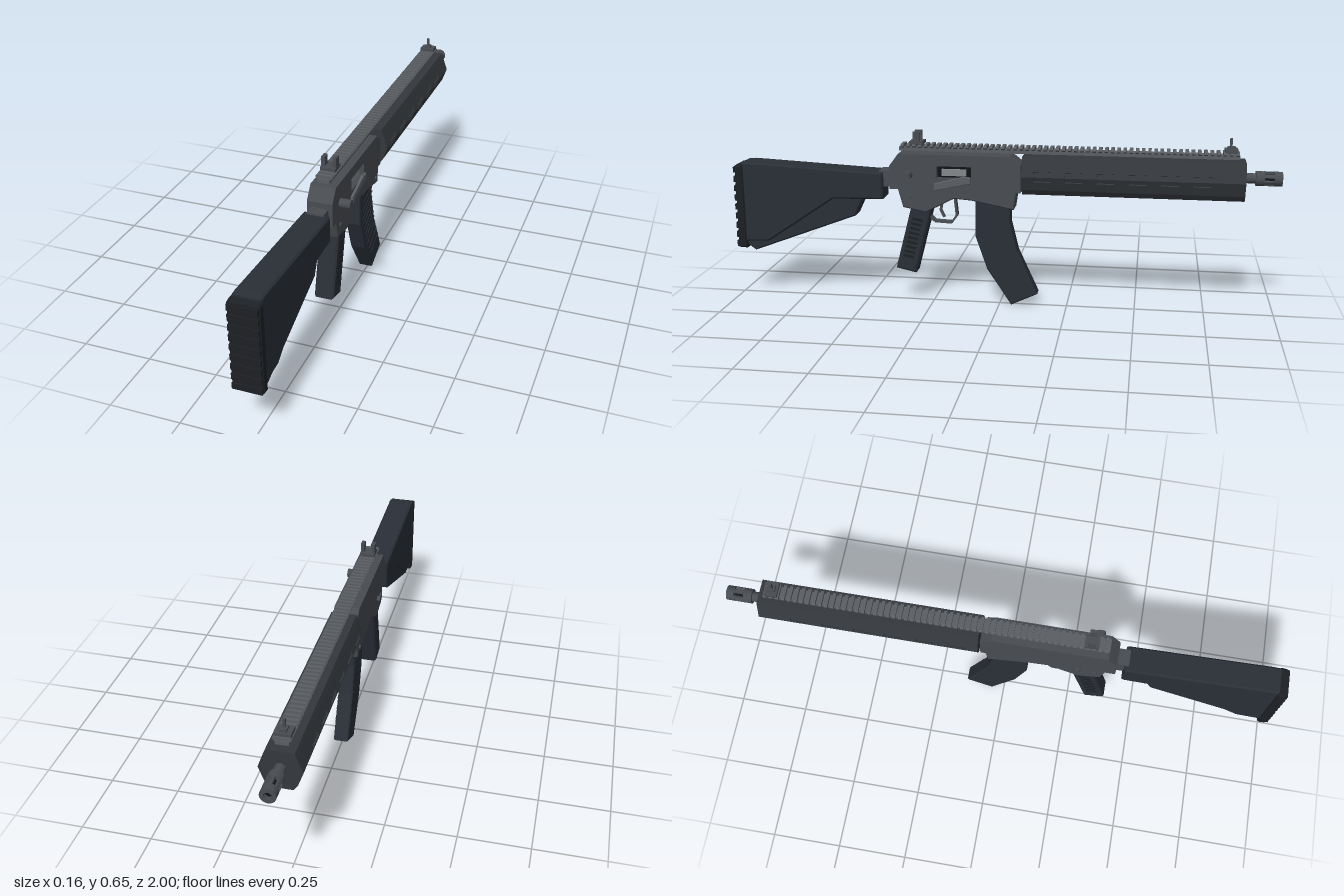
import * as THREE from 'three';
import { mergeGeometries } from 'three/addons/utils/BufferGeometryUtils.js';

const mat = (color) => new THREE.MeshStandardMaterial({ color, flatShading: true });
const steel = mat(0x484c51), rails = mat(0x5a5e62), guard = mat(0x34383c);
const polymer = mat(0x2a2f37), rubber = mat(0x1d2024), dark = mat(0x111316), bright = mat(0x85888a);

export function createModel() {
  const model = new THREE.Group();
  model.position.x = -0.008;

  const add = (name, geo, material) => {
    const mesh = new THREE.Mesh(geo, material);
    mesh.name = name;
    model.add(mesh);
    return mesh;
  };
  const toShape = (pts) => new THREE.Shape(pts.map(([a, b]) => new THREE.Vector2(a, b)));

  // Side profile of [z, y] points, extruded across x from x0 to x1
  const slab = (pts, x0, x1, bevel = 0, hole = null) => {
    const shape = toShape(pts);
    if (hole) shape.holes.push(toShape(hole));
    const geo = new THREE.ExtrudeGeometry(shape, {
      depth: x1 - x0 - 2 * bevel, bevelEnabled: bevel > 0, bevelSize: bevel,
      bevelThickness: bevel, bevelOffset: -bevel, bevelSegments: 1,
    });
    return geo.rotateY(-Math.PI / 2).translate(x1 - bevel, 0, 0);
  };
  const box = (x, y, z, w, h, d) => new THREE.BoxGeometry(w, h, d).translate(x, y, z);
  // Bar lying in the side plane between two [z, y] points
  const bar = (a, b, thick, width, x = 0) => {
    const dz = b[0] - a[0], dy = b[1] - a[1];
    return new THREE.BoxGeometry(width, thick, Math.hypot(dz, dy))
      .rotateX(-Math.atan2(dy, dz))
      .translate(x, (a[1] + b[1]) / 2, (a[0] + b[0]) / 2);
  };
  const lerp = (a, b, t) => [a[0] + (b[0] - a[0]) * t, a[1] + (b[1] - a[1]) * t];
  const rodX = (r, x0, x1, y, z, n = 16) =>
    new THREE.CylinderGeometry(r, r, x1 - x0, n).rotateZ(Math.PI / 2).translate((x0 + x1) / 2, y, z);
  const rodZ = (r, z0, z1, y, n = 20) =>
    new THREE.CylinderGeometry(r, r, z1 - z0, n).rotateX(Math.PI / 2).translate(0, y, (z0 + z1) / 2);

  // Receiver, with an open ejection port on the +x side
  const upper = [[0.404, 0.435], [0.404, 0.52], [0.37, 0.566], [-0.04, 0.566], [-0.08, 0.535], [-0.08, 0.435]];
  const port = [[0.227, 0.48], [0.227, 0.525], [0.1, 0.525], [0.1, 0.48]];
  add('receiver', slab(upper, -0.045, 0.022), steel);
  add('receiverPortSide', slab(upper, 0.022, 0.045, 0, port), steel);
  add('portFloor', slab(port, 0.021, 0.023), dark);
  add('bolt', box(0.027, 0.5, 0.165, 0.014, 0.024, 0.09), bright);
  add('lowerReceiver', slab([[0.375, 0.44], [0.355, 0.367], [0.27, 0.35], [0.165, 0.405], [0.1, 0.4],
    [-0.055, 0.37], [-0.065, 0.44]], -0.043, 0.043, 0.004), steel);
  add('chargingHandle', rodX(0.0165, 0.04, 0.085, 0.491, 0.333), steel);
  add('safetyLever', slab([[0.238, 0.435], [0.235, 0.462], [0.13, 0.49], [0.1, 0.488], [0.1, 0.465]],
    0.044, 0.055, 0.002), rails);
  add('leftPins', mergeGeometries([rodX(0.011, -0.057, -0.04, 0.43, 0.27), rodX(0.011, -0.049, -0.04, 0.41, 0.33),
    rodX(0.008, -0.049, -0.04, 0.4, -0.03)]), steel);
  add('rightPins', mergeGeometries([rodX(0.007, 0.04, 0.048, 0.405, 0.33), rodX(0.007, 0.04, 0.048, 0.4, -0.03)]), steel);

  // Handguard: a solid core wrapped in facet panels, the side ones slotted
  const half = [[0.045, 0.568], [0.052, 0.55], [0.07, 0.5], [0.052, 0.45], [0.038, 0.43]];
  const ring = [...half, ...half.map(([x, y]) => [-x, y]).reverse()];
  const zFront = -0.872, length = 0.787, skin = 0.006;
  const coreShape = toShape(ring.map(([x, y]) => [x * 0.9, 0.5 + (y - 0.5) * 0.92]));
  add('handguardCore', new THREE.ExtrudeGeometry(coreShape, { depth: length - 0.002, bevelEnabled: false })
    .translate(0, 0, zFront + 0.001), guard);
  const panels = ring.map((a, i) => {
    const b = ring[(i + 1) % ring.length];
    const w = Math.hypot(b[0] - a[0], b[1] - a[1]);
    const dir = new THREE.Vector3(b[0] - a[0], b[1] - a[1], 0).normalize();
    const out = new THREE.Vector3(-dir.y, dir.x, 0);
    const shape = toShape([[0, 0], [length, 0], [length, w], [0, w]]);
    const apexAtEnd = i === 1 || i === 6, apexAtStart = i === 2 || i === 7;
    if (apexAtEnd || apexAtStart) {
      const v = apexAtEnd ? w - 0.02 : 0.006;
      for (let k = 0; k < 6; k++) {
        const u = 0.117 + k * 0.113;
        shape.holes.push(toShape([[u, v], [u, v + 0.014], [u + 0.062, v + 0.014], [u + 0.062, v]]));
      }
    }
    const geo = new THREE.ExtrudeGeometry(shape, { depth: skin, bevelEnabled: false });
    const m = new THREE.Matrix4().makeBasis(new THREE.Vector3(0, 0, 1), dir, out);
    m.setPosition(a[0] - out.x * skin, a[1] - out.y * skin, zFront);
    return geo.applyMatrix4(m);
  });
  add('handguard', mergeGeometries(panels), guard);

  // Barrel and slotted muzzle device
  add('barrel', rodZ(0.018, -0.92, -0.86, 0.507), steel);
  const collar = (z0, z1) => new THREE.LatheGeometry(
    [[0.013, z0], [0.026, z0], [0.026, z1], [0.013, z1], [0.013, z0]].map(([r, z]) => new THREE.Vector2(r, z)), 20)
    .rotateX(Math.PI / 2).translate(0, 0.507, 0);
  const muzzle = [collar(-0.938, -0.908), collar(-1, -0.972)];
  for (let i = 0; i < 6; i++) {
    muzzle.push(box(0, 0.021, -0.955, 0.012, 0.009, 0.04).rotateZ(i * Math.PI / 3).translate(0, 0.507, 0));
  }
  add('muzzleDevice', mergeGeometries(muzzle), steel);
  add('bore', rodZ(0.0135, -0.985, -0.9, 0.507), dark);

  // Top rail with repeating teeth
  add('railBase', box(0, 0.582, -0.24, 0.044, 0.014, 1.22), rails);
  const tooth = toShape([[-0.024, 0.587], [0.024, 0.587], [0.03, 0.592], [0.03, 0.595], [0.025, 0.6],
    [-0.025, 0.6], [-0.03, 0.595], [-0.03, 0.592]]);
  const teeth = [];
  for (let i = 0; i < 56; i++) {
    teeth.push(new THREE.ExtrudeGeometry(tooth, { depth: 0.012, bevelEnabled: false }).translate(0, 0, -0.848 + i * 0.0218));
  }
  add('railTeeth', mergeGeometries(teeth), rails);

  // Sights
  add('rearSight', mergeGeometries([box(0, 0.605, 0.305, 0.054, 0.012, 0.05),
    ...[-1, 1].map((s) => box(s * 0.02, 0.627, 0.305, 0.013, 0.036, 0.026))]), steel);
  add('frontSight', mergeGeometries([box(0, 0.603, -0.82, 0.054, 0.014, 0.045),
    box(0, 0.628, -0.818, 0.009, 0.04, 0.009), box(0, 0.613, -0.82, 0.022, 0.01, 0.028)]), steel);

  // Stock, lower brace and ribbed butt pad
  add('stockConnector', box(0, 0.47, 0.42, 0.06, 0.06, 0.05), steel);
  add('stock', slab([[0.968, 0.516], [0.94, 0.518], [0.43, 0.493], [0.43, 0.395], [0.62, 0.39],
    [0.875, 0.218], [0.968, 0.213]], -0.048, 0.048, 0.006), polymer);
  add('stockBrace', slab([[0.64, 0.4], [0.505, 0.4], [0.54, 0.325], [0.935, 0.176], [0.968, 0.2], [0.968, 0.235],
    [0.875, 0.235]], -0.035, 0.035, 0.005), polymer);
  add('buttPad', slab([[0.994, 0.19], [0.994, 0.505], [0.962, 0.51], [0.962, 0.188]], -0.053, 0.053, 0.006), rubber);
  const padRibs = [];
  for (let i = 0; i < 9; i++) padRibs.push(box(0, 0.205 + i * 0.0355, 0.986, 0.1, 0.022, 0.028));
  add('buttPadRibs', mergeGeometries(padRibs), rubber);

  // Pistol grip with ribbed sides
  const gripTop = [[0.325, 0.375], [0.25, 0.36]], gripEnd = [[0.388, 0.13], [0.313, 0.113]];
  add('grip', slab([gripTop[0], gripTop[1], gripEnd[1], gripEnd[0]], -0.035, 0.035, 0.006), polymer);
  const gripRibs = [];
  for (let i = 0; i < 9; i++) {
    const t = 0.2 + i * 0.072;
    const a = lerp(gripTop[0], gripEnd[0], t), b = lerp(gripTop[1], gripEnd[1], t);
    gripRibs.push(bar(lerp(a, b, 0.2), lerp(a, b, 0.72), 0.009, 0.073));
  }
  add('gripRibs', mergeGeometries(gripRibs), rubber);

  // Trigger and its guard
  const guardPath = [[0.275, 0.35], [0.268, 0.335], [0.243, 0.31], [0.18, 0.307], [0.16, 0.335], [0.168, 0.41]];
  add('triggerGuard', mergeGeometries(guardPath.slice(1).map((p, i) => bar(guardPath[i], p, 0.008, 0.026))), steel);
  add('trigger', mergeGeometries([bar([0.215, 0.39], [0.222, 0.35], 0.009, 0.012),
    bar([0.222, 0.353], [0.208, 0.325], 0.008, 0.012)]), steel);

  // Curved magazine with slanted ribs
  const magBack = [[0.088, 0.42], [0.088, 0.26], [0.045, 0.137], [-0.045, 0.002]];
  const magFront = [[-0.04, 0.42], [-0.04, 0.32], [-0.067, 0.21], [-0.142, 0.048]];
  add('magazine', slab([...magBack, ...[...magFront].reverse()], -0.027, 0.027, 0.004), polymer);
  const magRibs = [];
  for (let i = 0; i < 11; i++) {
    const s = 0.35 + i * 0.22, k = Math.floor(s), t = s - k;
    const a = lerp(magBack[k], magBack[k + 1], t), b = lerp(magFront[k], magFront[k + 1], t);
    magRibs.push(bar(lerp(a, b, 0.2), lerp(a, b, 0.97), 0.005, 0.058));
  }
  add('magazineRibs', mergeGeometries(magRibs), polymer);

  return model;
}
